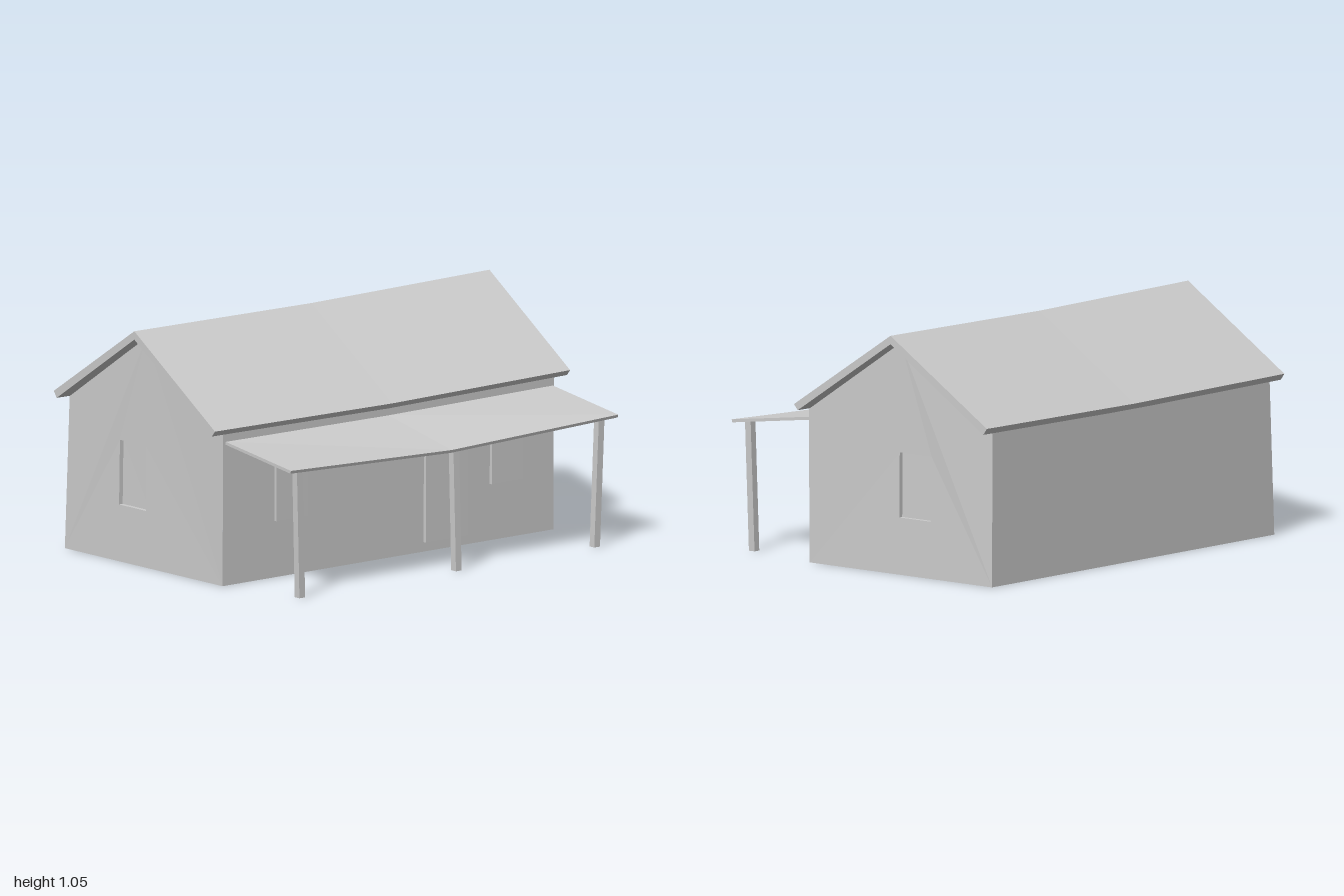
import * as THREE from 'three';

const grey = new THREE.MeshStandardMaterial({ color: 0xcccccc, flatShading: true });
const greyThin = new THREE.MeshStandardMaterial({ color: 0xcccccc, flatShading: true, side: THREE.DoubleSide });

function named(name, geometry, material = grey) {
  const mesh = new THREE.Mesh(geometry, material);
  mesh.name = name;
  return mesh;
}

// geometry from a list of four-cornered faces
function fromQuads(quads) {
  const pos = [];
  for (const [a, b, c, d] of quads) pos.push(...a, ...b, ...c, ...a, ...c, ...d);
  const g = new THREE.BufferGeometry();
  g.setAttribute('position', new THREE.Float32BufferAttribute(pos, 3));
  g.computeVertexNormals();
  return g;
}

// solid skinned over matching cross-sections, closed at both ends
function loft(rings) {
  const n = rings[0].length;
  const quads = [];
  for (let s = 0; s < rings.length - 1; s++) {
    const a = rings[s], b = rings[s + 1];
    for (let i = 0; i < n; i++) {
      const j = (i + 1) % n;
      quads.push([a[i], a[j], b[j], b[i]]);
    }
  }
  const first = rings[0], last = rings[rings.length - 1];
  for (let i = 0; i < n / 2 - 1; i++) {
    quads.push([first[n - 1 - i], first[n - 2 - i], first[i + 1], first[i]]);
    quads.push([last[i], last[i + 1], last[n - 2 - i], last[n - 1 - i]]);
  }
  return fromQuads(quads);
}

// gable walls splay out slightly at the lower outer corner
function splay(geometry) {
  const p = geometry.attributes.position;
  for (let i = 0; i < p.count; i++) {
    const across = (0.31 - p.getX(i)) / 1.05;
    const down = Math.max(0, 1 - p.getY(i) / 0.67);
    p.setZ(i, p.getZ(i) + 0.93 + 0.017 * across * down);
  }
  geometry.computeVertexNormals();
  return geometry;
}

function gableEnd(name) {
  const group = new THREE.Group();
  group.name = name;

  // wall with a window opening
  const points = (list) => list.map(([x, y]) => new THREE.Vector2(x, y));
  const shape = new THREE.Shape(points([[-0.74, 0], [0.307, 0], [0.31, 0.672], [-0.21, 1.015], [-0.728, 0.672]]));
  shape.holes.push(new THREE.Path(points([[-0.385, 0.25], [-0.385, 0.535], [-0.205, 0.535], [-0.205, 0.25]])));
  group.add(named('gableWall', splay(new THREE.ShapeGeometry(shape)), greyThin));

  // window recess: a shallow box without its outer face
  const recess = new THREE.BoxGeometry(0.18, 0.285, 0.02).translate(-0.295, 0.3925, -0.01);
  const index = Array.from(recess.index.array);
  index.splice(24, 6);
  recess.setIndex(index);
  group.add(named('recessedWindow', splay(recess), greyThin));
  return group;
}

export function createModel() {
  const house = new THREE.Group();
  house.name = 'house';

  // walls, open below
  const back = gableEnd('backGable');
  back.scale.z = -1;
  house.add(gableEnd('frontGable'), back);
  house.add(named('leftWall', fromQuads([
    [[-0.74, 0, -0.947], [-0.74, 0, 0.947], [-0.728, 0.672, 0.93], [-0.728, 0.672, -0.93]],
  ]), greyThin));
  house.add(named('rightWall', fromQuads([
    [[0.307, 0, 0.93], [0.307, 0, -0.93], [0.31, 0.672, -0.93], [0.31, 0.672, 0.93]],
  ]), greyThin));

  // main roof, sagging a little halfway along
  const roofRing = (z, sag, pinch) => [
    [-0.755 + pinch, 0.7 - sag, z], [-0.21, 1.052 - sag, z], [0.336, 0.697 - sag, z],
    [0.315, 0.672 - sag, z], [-0.21, 1.015 - sag, z], [-0.735 + pinch, 0.672 - sag, z],
  ];
  house.add(named('mainRoof', loft([
    roofRing(0.997, 0, 0), roofRing(0, 0.01, 0.008), roofRing(-1, -0.002, 0),
  ])));

  // porch roof, drooping at mid-span
  const porchRing = (z, droop, x) => [
    [0.308, 0.637 - droop * 0.2, z], [x, 0.58 - droop, z],
    [x - 0.004, 0.567 - droop, z], [0.308, 0.624 - droop * 0.2, z],
  ];
  house.add(named('porchRoof', loft([
    porchRing(0.915, 0, 0.752), porchRing(0, 0.034, 0.737), porchRing(-0.925, 0, 0.752),
  ])));

  // porch posts: foot z, head z, head x, head height
  const postRing = (x, y, z, r = 0.016) => [
    [x - r, y, z + r], [x + r, y, z + r], [x + r, y, z - r], [x - r, y, z - r],
  ];
  [[0.82, 0.835, 0.699, 0.572], [-0.06, -0.06, 0.681, 0.541], [-0.838, -0.863, 0.699, 0.572]]
    .forEach(([z0, z1, x1, top]) => {
      house.add(named('porchPost', loft([postRing(0.698, 0, z0), postRing(x1, top, z1)])));
    });

  // raised door and windows on the right wall
  [['window', 0.55, 0.18, 0.25], ['window', -0.66, 0.178, 0.25], ['door', -0.32, 0.24, 0.042]]
    .forEach(([name, z, width, sill]) => {
      const height = 0.532 - sill;
      const panel = named(name, new THREE.BoxGeometry(0.018, height, width));
      panel.position.set(0.314, sill + height / 2, z);
      house.add(panel);
    });

  return house;
}
